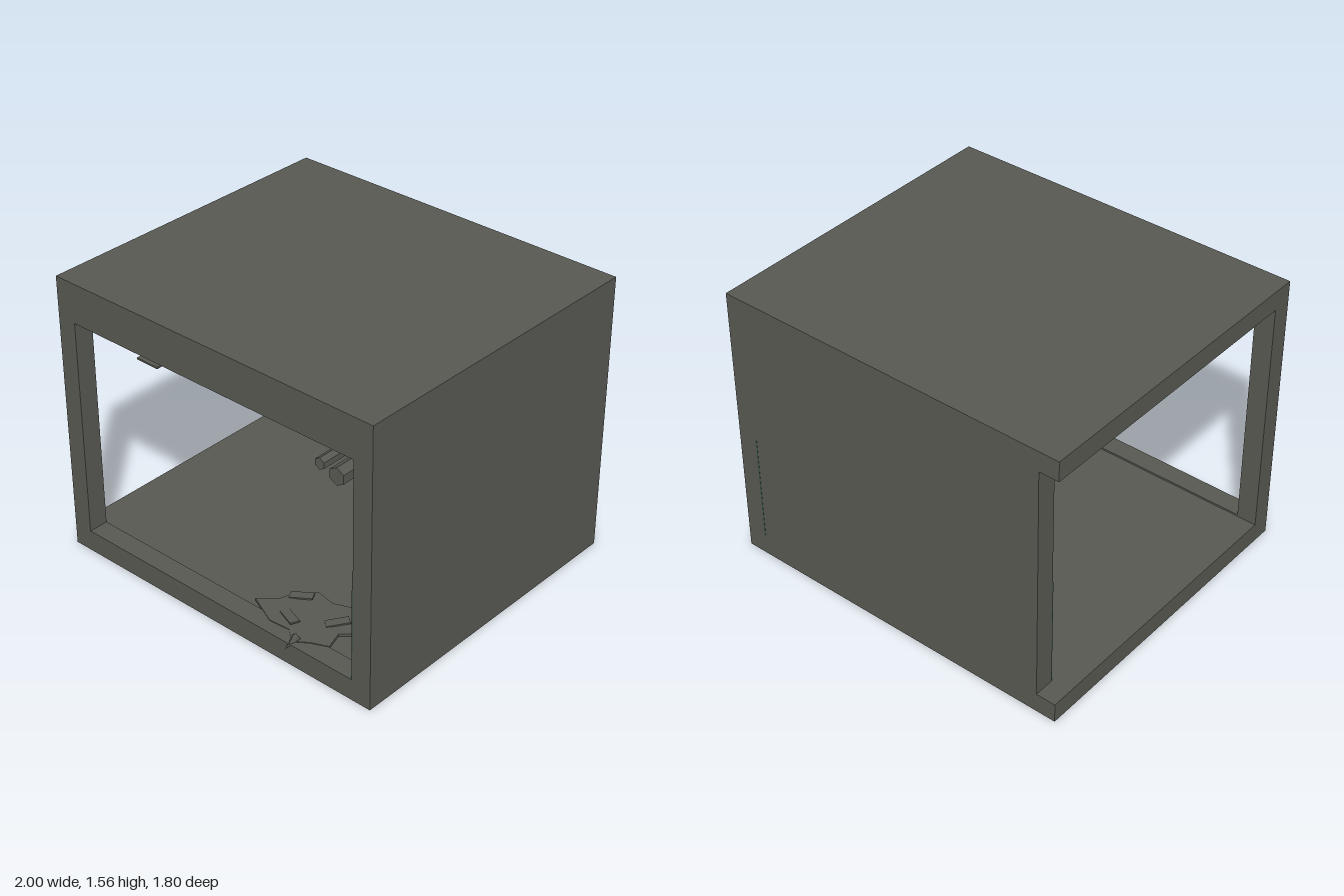
import * as THREE from 'three';

export function createModel() {
  const model = new THREE.Group();
  const grey = new THREE.MeshStandardMaterial({ color: 0x585852 });
  grey.name = 'concrete grey';
  const green = new THREE.MeshStandardMaterial({ color: 0x2f4f42 });
  green.name = 'dado green';

  const add = (name, geometry, material = grey, parent = model) => {
    const mesh = new THREE.Mesh(geometry, material);
    mesh.name = name;
    parent.add(mesh);
    return mesh;
  };
  // Box given by its limits on each axis
  const box = (name, [x0, x1], [y0, y1], [z0, z1], material = grey) => {
    const mesh = add(name, new THREE.BoxGeometry(x1 - x0, y1 - y0, z1 - z0), material);
    mesh.position.set((x0 + x1) / 2, (y0 + y1) / 2, (z0 + z1) / 2);
    return mesh;
  };
  const outline = (points) => points.map(([x, y]) => new THREE.Vector2(x, y));
  // Smooth closed outline
  const blob = (points) => new THREE.Shape(
    new THREE.CatmullRomCurve3(points.map(([x, y]) => new THREE.Vector3(x, y, 0)), true)
      .getPoints(48).map((p) => new THREE.Vector2(p.x, p.y)));

  // Room shell, open on its right side
  box('floor', [-1, 1], [0, 0.11], [-0.9, 0.76]);
  box('ceiling', [-1, 1], [1.45, 1.56], [-0.9, 0.76]);
  box('backWall', [-0.89, 1], [0.11, 1.45], [-0.9, -0.79]);
  box('sideWall', [0.89, 1], [0.11, 1.45], [-0.79, 0.76]);
  box('cornerPillar', [0.8, 0.89], [0.11, 1.45], [-0.79, -0.7]);

  // Front frame with its large opening
  const frame = new THREE.Shape(outline([[-1, 0], [1, 0], [1, 1.56], [-1, 1.56]]));
  frame.holes.push(new THREE.Path(outline([[-0.89, 0.12], [-0.89, 1.34], [0.89, 1.34], [0.89, 0.12]])));
  add('frontFrame', new THREE.ExtrudeGeometry(frame, { depth: 0.11, bevelEnabled: false })).position.z = 0.76;

  // Painted lower walls
  box('backDado', [-0.89, 0.8], [0.11, 0.735], [-0.79, -0.785], green);
  box('sideDado', [0.883, 0.89], [0.12, 0.735], [-0.901, 0.868], green);

  // Patches of bare plaster
  const patch = blob([[0, 0.20], [0.05, 0.19], [0.08, 0.125], [0.16, 0.09], [0.208, 0.07],
    [0.2, 0.035], [0.14, 0.012], [0.09, -0.002], [0.045, 0.02], [0.03, 0.09], [-0.004, 0.155]]);
  const patchGeometry = new THREE.ExtrudeGeometry(patch, { depth: 0.004, bevelEnabled: false });
  for (const x of [-0.495, 0.17]) {
    add('backPlasterPatch', patchGeometry).position.set(x, 0.262, -0.785);
  }
  for (const z of [-0.25, 0.45]) {
    const mesh = add('sidePlasterPatch', patchGeometry);
    mesh.position.set(0.883, 0.262, z);
    mesh.rotation.y = -Math.PI / 2;
  }

  // Ceiling lamp
  box('lampHousing', [-0.275, 0.27], [1.3, 1.45], [-0.12, 0.12]);
  box('lampCover', [-0.255, 0.255], [1.288, 1.3], [-0.1, 0.1]);

  // Small flat fitting under the lintel
  box('lintelPlate', [-0.47, -0.335], [1.302, 1.312], [0.79, 0.86]);
  box('lintelStem', [-0.41, -0.395], [1.312, 1.34], [0.82, 0.835]);

  // Six-sided pipes along the side wall
  for (const [x, y, r] of [[0.72, 1.26, 0.031], [0.82, 1.237, 0.047]]) {
    const pipe = add('pipe', new THREE.CylinderGeometry(r, r, 1.69, 6).toNonIndexed());
    pipe.geometry.computeVertexNormals();
    pipe.position.set(x, y, 0.055);
    pipe.rotation.x = Math.PI / 2;
  }

  // Ragged flat heap on the floor near the opening
  const rag = new THREE.Shape(outline([[0.22, -0.64], [0.25, -0.55], [0.335, -0.48], [0.44, -0.5], [0.59, -0.44],
    [0.67, -0.5], [0.71, -0.58], [0.62, -0.66], [0.65, -0.76], [0.56, -0.8], [0.49, -0.85],
    [0.42, -0.79], [0.3, -0.8], [0.13, -0.72]]));
  const ragMesh = add('floorRag', new THREE.ExtrudeGeometry(rag, { depth: 0.014, bevelEnabled: false }));
  ragMesh.rotation.x = -Math.PI / 2;
  ragMesh.position.y = 0.11;
  const scraps = [[0.29, 0.56, 0.5], [0.36, 0.72, -0.4], [0.56, 0.6, 0.9], [0.62, 0.54, -0.2]];
  for (const [x, z, turn] of scraps) {
    const scrap = add('floorScrap', new THREE.BoxGeometry(0.12, 0.008, 0.05));
    scrap.position.set(x, 0.129, z);
    scrap.rotation.set(0, turn, 0.08);
  }
  const tip = add('ragTip', new THREE.ConeGeometry(0.025, 0.09, 4));
  tip.position.set(0.49, 0.117, 0.855);
  tip.rotation.x = Math.PI / 2 + 0.3;

  return model;
}
